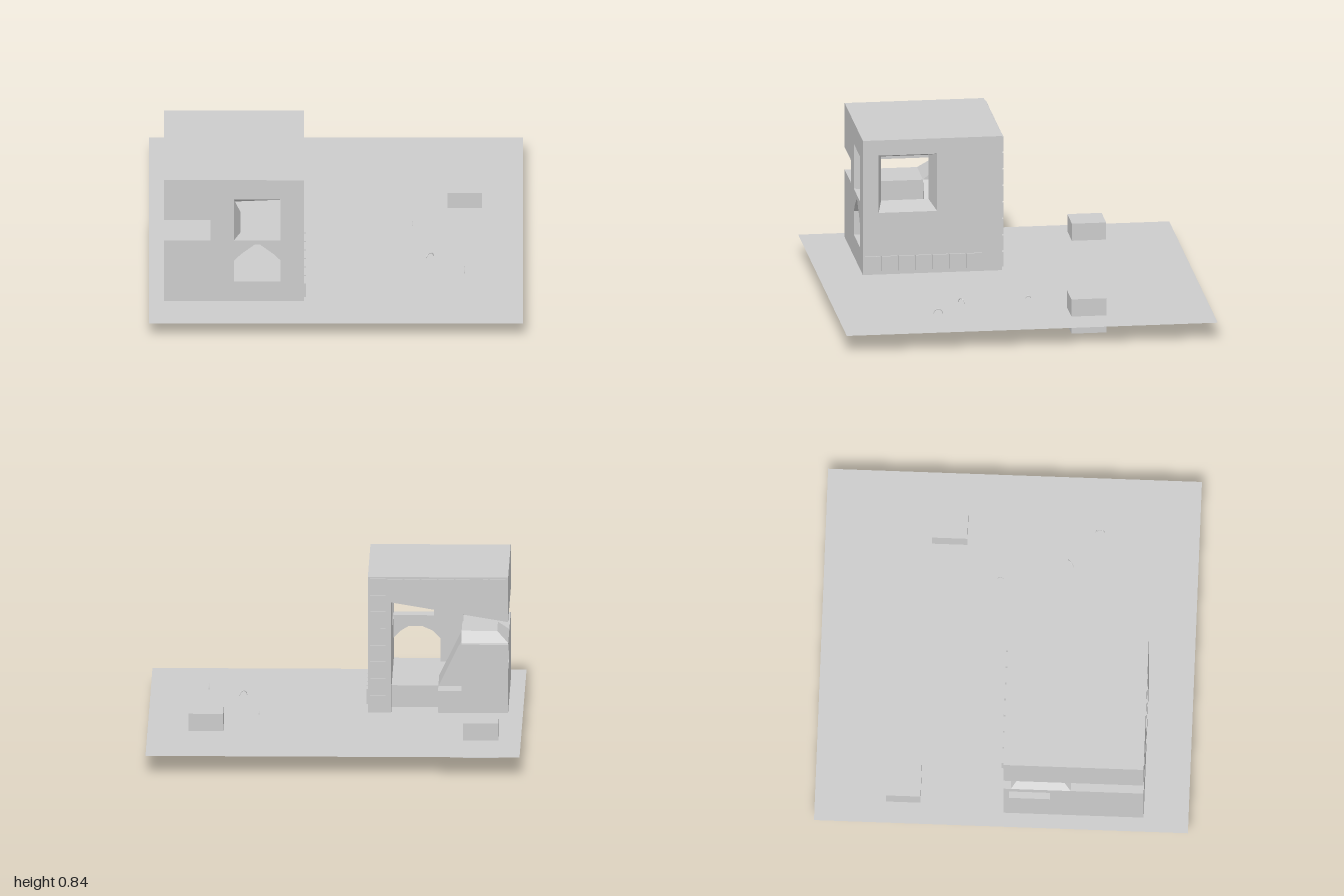
import * as THREE from 'three';

const mat = new THREE.MeshStandardMaterial({ color: 0xcccccc, flatShading: true, side: THREE.DoubleSide });
const GROUND = 0.095;

const v2 = (pts) => pts.map(([x, y]) => new THREE.Vector2(x, y));
const rect = (x0, y0, x1, y1) => [[x0, y0], [x1, y0], [x1, y1], [x0, y1]];

function add(parent, name, geometry) {
  const mesh = new THREE.Mesh(geometry, mat);
  mesh.name = name;
  parent.add(mesh);
  return mesh;
}

// Box given by its lower and upper corners
function block(parent, name, [x0, y0, z0], [x1, y1, z1]) {
  const mesh = add(parent, name, new THREE.BoxGeometry(x1 - x0, y1 - y0, z1 - z0));
  mesh.position.set((x0 + x1) / 2, (y0 + y1) / 2, (z0 + z1) / 2);
  return mesh;
}

// Strip of quads joining two matching closed outlines at z = 0 and z = -depth
function loft(a, b, depth) {
  const pos = [];
  a.forEach((p, i) => {
    const j = (i + 1) % a.length;
    const A = [...p, 0], B = [...a[j], 0], C = [...b[j], -depth], D = [...b[i], -depth];
    pos.push(...A, ...D, ...B, ...B, ...D, ...C);
  });
  const g = new THREE.BufferGeometry();
  g.setAttribute('position', new THREE.Float32BufferAttribute(pos, 3));
  g.computeVertexNormals();
  return g;
}

// Wall whose openings change shape from the outer face to the inner face
function wall(parent, name, outline, openings, depth) {
  const group = new THREE.Group();
  group.name = name;
  const face = (side) => {
    const shape = new THREE.Shape(v2(outline));
    openings.forEach((o) => shape.holes.push(new THREE.Path(v2(o[side]))));
    return new THREE.ShapeGeometry(shape);
  };
  add(group, 'outerFace', face(0));
  add(group, 'innerFace', face(1).scale(1, 1, -1).translate(0, 0, -depth));
  add(group, 'edge', loft(outline, outline, depth));
  openings.forEach((o) => add(group, 'reveal', loft(o[0], o[1], depth)));
  parent.add(group);
  return group;
}

function createModel() {
  const model = new THREE.Group();
  model.name = 'buildingOnPlot';

  // Plot of ground and the two loose blocks sunk through it
  const ground = add(model, 'ground', new THREE.PlaneGeometry(2, 2).rotateX(-Math.PI / 2));
  ground.position.y = GROUND;
  block(model, 'looseBlock', [-0.88, 0, -0.62], [-0.69, 0.19, -0.435]);
  block(model, 'looseBlock', [0.595, 0, -0.43], [0.78, 0.19, -0.24]);

  const house = new THREE.Group();
  house.name = 'house';
  model.add(house);

  // Front wall with corner slot, square window and arched doorway
  const windowOut = [[-0.545, 0.47], [-0.545, 0.595], [-0.545, 0.72], [-0.295, 0.72], [-0.295, 0.47]];
  const windowIn = [[-0.51, 0.47], [-0.51, 0.595], [-0.545, 0.66], [-0.295, 0.7], [-0.295, 0.47]];
  const arch = (crown) => [[-0.545, 0.215], [-0.545, 0.345], [-0.507, 0.385], [-0.435, crown],
    [-0.405, crown], [-0.333, 0.385], [-0.295, 0.345], [-0.295, 0.215]];
  const archIn = arch(0.41);
  archIn[3][0] = -0.45;
  archIn[4][0] = -0.375;
  const frontWall = wall(house, 'frontWall',
    [[-0.92, GROUND], [-0.17, GROUND], [-0.17, 0.84], [-0.92, 0.84], [-0.92, 0.595], [-0.67, 0.595], [-0.67, 0.47], [-0.92, 0.47]],
    [[windowOut, windowIn], [arch(0.443), archIn]], 0.085);
  frontWall.position.z = 0.76;

  // Side wall with splayed window (drawn with local x = -z)
  const sideWall = wall(house, 'sideWall', rect(-0.76, GROUND, -0.01, 0.84),
    [[rect(-0.675, 0.437, -0.36, 0.755), rect(-0.645, 0.47, -0.39, 0.715)]], 0.125);
  sideWall.rotation.y = Math.PI / 2;
  sideWall.position.x = -0.17;

  // Low block on the open side, with a tunnel near the back (local x = z)
  const lowBlock = wall(house, 'lowBlock', rect(0.01, GROUND, 0.675, 0.47),
    [[rect(0.04, 0.33, 0.26, 0.43), rect(0.04, 0.33, 0.26, 0.43)]], 0.25);
  lowBlock.rotation.y = -Math.PI / 2;
  lowBlock.position.x = -0.92;

  // Roof slab with sloping underside
  const roof = new THREE.Shape(v2([[-0.92, 0.595], [-0.295, 0.7], [-0.295, 0.84], [-0.92, 0.84]]));
  add(house, 'roof', new THREE.ExtrudeGeometry(roof, { depth: 0.665, bevelEnabled: false })).position.z = 0.01;

  // Floor, step and ramp inside
  block(house, 'floor', [-0.67, GROUND, 0.135], [-0.295, 0.215, 0.675]);
  block(house, 'step', [-0.67, GROUND, 0.01], [-0.545, 0.215, 0.135]);
  const ramp = new THREE.Shape(v2([[-0.67, 0.215], [-0.545, 0.215], [-0.67, 0.47]]));
  add(house, 'ramp', new THREE.ExtrudeGeometry(ramp, { depth: 0.25, bevelEnabled: false })).position.z = 0.12;

  // Raised hump on the low block, in line with the slot
  const low = rect(-0.92, -0.37, -0.67, -0.05), high = rect(-0.86, -0.31, -0.67, -0.1);
  const hump = new THREE.Group();
  hump.name = 'hump';
  add(hump, 'humpSides', loft(high, low, 0.055));
  add(hump, 'humpTop', new THREE.ShapeGeometry(new THREE.Shape(v2(high))));
  hump.rotation.x = -Math.PI / 2;
  hump.position.y = 0.525;
  house.add(hump);

  // Rows of small tiles along the side base, the back beam and the back column
  for (let i = 0; i < 7; i++) {
    const z = 0.75 - i * 0.0915, x = -0.905 + i * 0.0915;
    block(house, 'sideTile', [-0.18, 0.115, z - 0.082], [-0.16, 0.197, z]);
    block(house, 'beamTile', [x, 0.748, 0], [x + 0.082, 0.83, 0.015]);
  }
  for (let i = 0; i < 8; i++) {
    const y = 0.11 + i * 0.0915;
    block(house, 'columnTile', [-0.265, y, 0], [-0.183, y + 0.082, 0.015]);
  }

  // Small wire hoops on the plot: x, z, radius, base height, turn
  for (const [x, z, r, y, turn] of [[0.41, -0.055, 0.013, 0.1, Math.PI / 2],
    [0.502, 0.317, 0.024, 0.113, 0.63], [0.688, 0.467, 0.024, 0.113, Math.PI / 2]]) {
    const hoop = add(model, 'hoop', new THREE.TorusGeometry(r, 0.0025, 5, 10, Math.PI));
    hoop.position.set(x, y, z);
    hoop.rotation.y = turn;
  }

  return model;
}

export { createModel };
